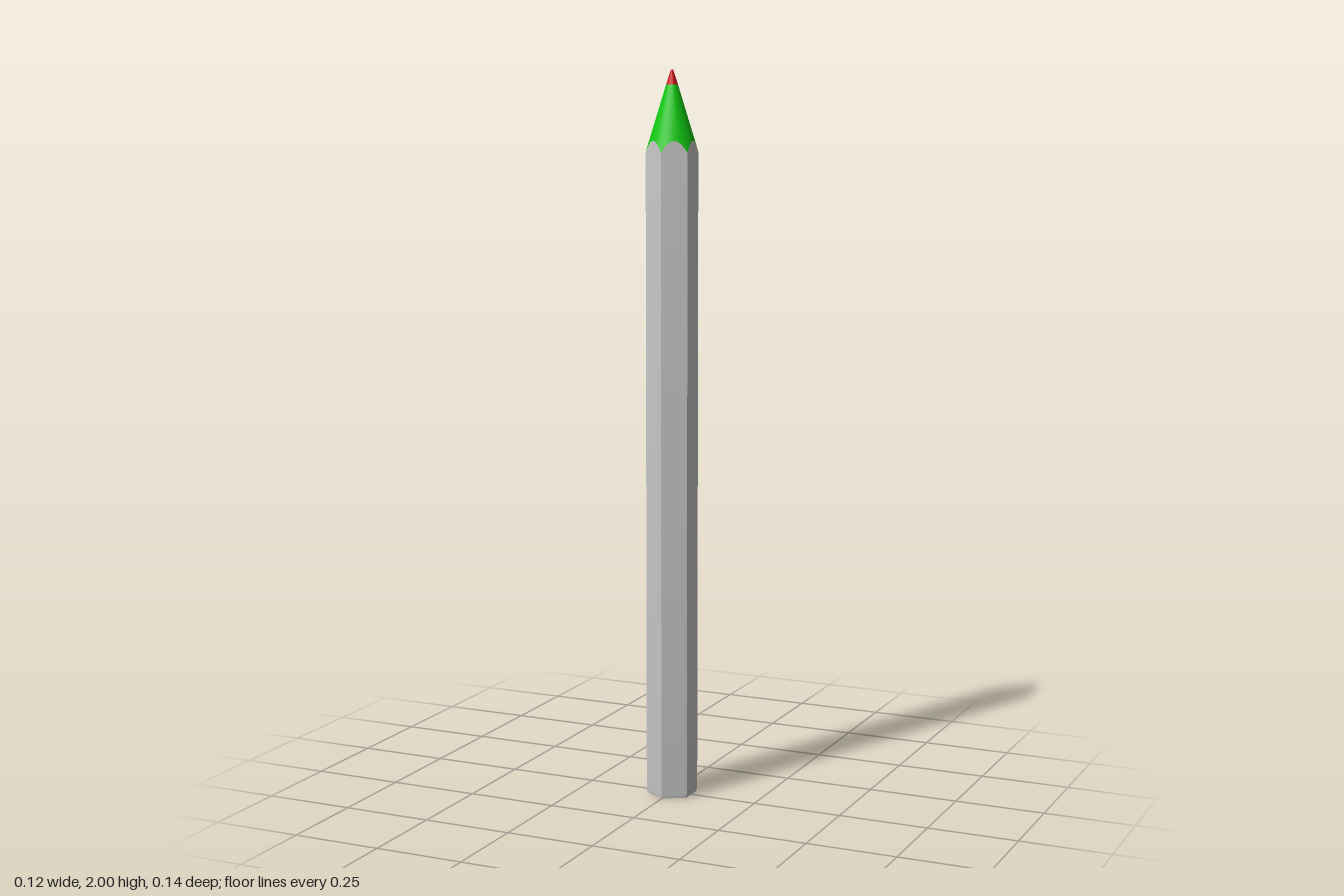
import * as THREE from 'three';
import { toCreasedNormals } from 'three/addons/utils/BufferGeometryUtils.js';

const APOTHEM = 0.0615, LEAD_R = 0.016, TIP_R = 0.003, LEAD_Y = 1.96;
const SEGMENTS = 60, SLOPE = 3.25;

// Hexagon radius at an angle; flat faces on +x and -x, corners on +z and -z
function hexRadius(a) {
  const sector = Math.PI / 3;
  return APOTHEM / Math.cos(a - Math.round(a / sector) * sector);
}

// Height where the sharpened cone reaches a given radius
const coneY = (r) => LEAD_Y - (r - LEAD_R) * SLOPE;

// Rings from bottom to top; each ring maps an angle to [radius, height]
function loft(rings) {
  const positions = [], index = [];
  for (const ring of rings) {
    for (let i = 0; i < SEGMENTS; i++) {
      const a = (i / SEGMENTS) * Math.PI * 2;
      const [r, y] = ring(a);
      positions.push(r * Math.cos(a), y, r * Math.sin(a));
    }
  }
  for (let k = 0; k < rings.length - 1; k++) {
    for (let i = 0; i < SEGMENTS; i++) {
      const j = (i + 1) % SEGMENTS;
      const a = k * SEGMENTS + i, b = k * SEGMENTS + j;
      const c = a + SEGMENTS, d = b + SEGMENTS;
      index.push(a, c, b, b, c, d);
    }
  }
  const g = new THREE.BufferGeometry();
  g.setAttribute('position', new THREE.Float32BufferAttribute(positions, 3));
  g.setIndex(index);
  return toCreasedNormals(g, 0.4);
}

export function createModel() {
  const group = new THREE.Group();
  group.name = 'pencil';
  const paint = new THREE.MeshStandardMaterial({ color: 0xcccccc });
  const green = new THREE.MeshStandardMaterial({ color: 0x11cc11 });
  const red = new THREE.MeshStandardMaterial({ color: 0xcc1111 });

  const add = (name, geometry, material) => {
    const mesh = new THREE.Mesh(geometry, material);
    mesh.name = name;
    group.add(mesh);
  };

  const baseRing = (a) => [hexRadius(a) * 0.96, 0];
  const scallop = (a) => [hexRadius(a), coneY(hexRadius(a))];
  const leadRing = () => [LEAD_R, LEAD_Y];

  // Hexagonal barrel with a small bevel at the foot and a scalloped top edge
  add('barrel', loft([baseRing, (a) => [hexRadius(a), 0.012], scallop]), paint);

  // Sharpened cone and the exposed end, with a hole for the lead
  add('sharpenedCone', loft([scallop, leadRing]), green);
  add('endFace', loft([() => [LEAD_R, 0], baseRing]), green);

  // Lead: blunt point on top and a disc in the end face
  add('leadPoint', loft([leadRing, () => [TIP_R, 2], () => [0, 2]]), red);
  add('leadEnd', loft([() => [0, 0], () => [LEAD_R, 0]]), red);

  return group;
}
